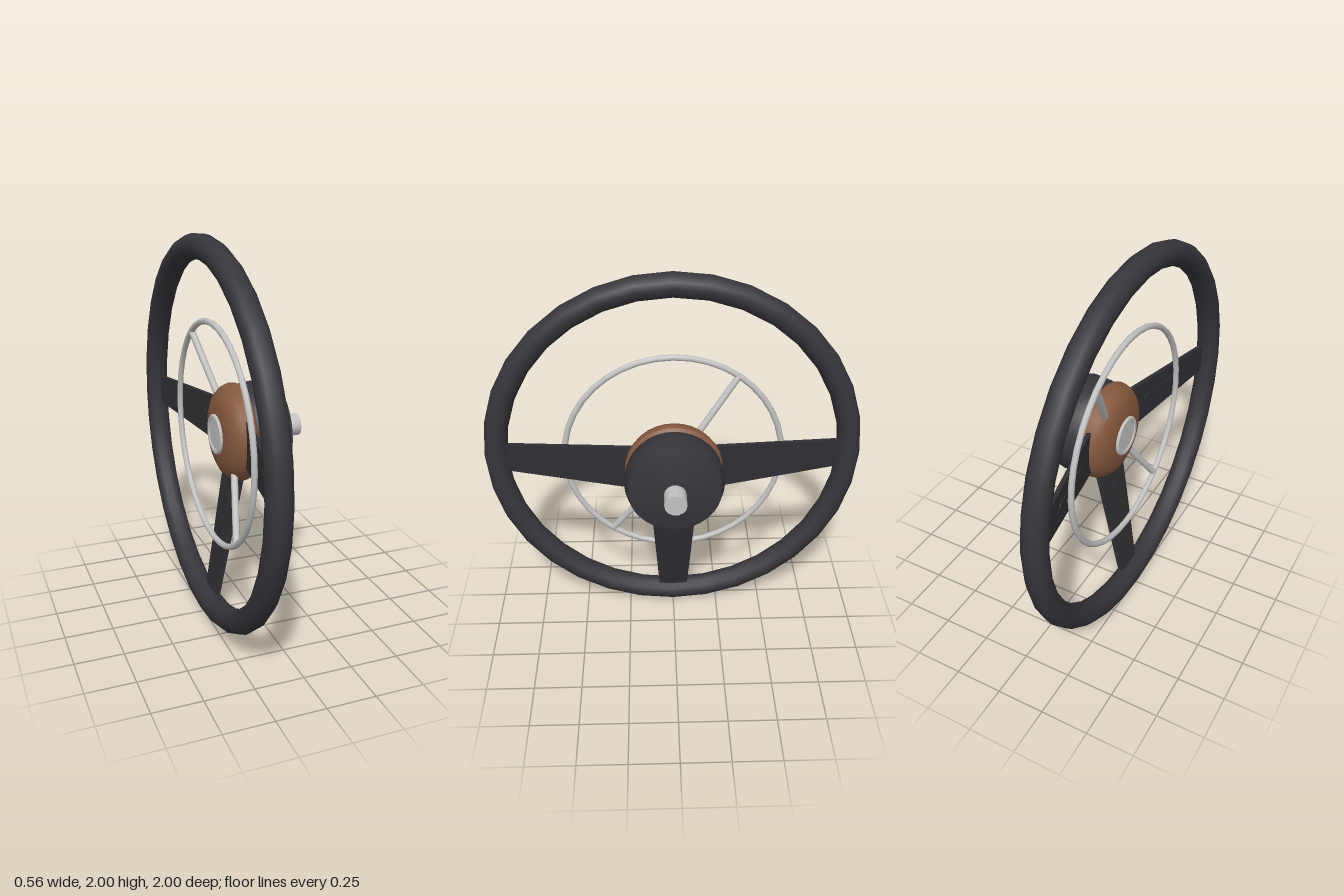
import * as THREE from 'three';
import { toCreasedNormals } from 'three/addons/utils/BufferGeometryUtils.js';

const material = (name, color) => {
  const m = new THREE.MeshStandardMaterial({ color });
  m.name = name;
  return m;
};

export function createModel() {
  const black = material('black leather', 0x35353b);
  const spokeBlack = material('spoke black', 0x2f2f34);
  const brown = material('brown hub', 0x85583e);
  const silver = material('silver metal', 0xc2c2c2);

  // Everything turns about the x axis, so the group origin is the wheel centre
  const wheel = new THREE.Group();
  wheel.name = 'steeringWheel';
  wheel.position.y = 1;

  const add = (name, geometry, mat, parent = wheel) => {
    const mesh = new THREE.Mesh(geometry, mat);
    mesh.name = name;
    parent.add(mesh);
    return mesh;
  };

  // Profile of [radius, x] points spun around the x axis
  const spin = (points, sides, crease = 0.6) => {
    const g = new THREE.LatheGeometry(points.map(([r, x]) => new THREE.Vector2(r, x)), sides);
    g.rotateZ(-Math.PI / 2);
    return toCreasedNormals(g, crease);
  };

  const ring = (radius, tube, x, tubeSides, sides) =>
    new THREE.TorusGeometry(radius, tube, tubeSides, sides).rotateY(Math.PI / 2).translate(x, 0, 0);

  // Rim and horn ring
  add('rim', ring(0.9375, 0.0625, -0.219, 12, 32), black);
  add('hornRing', ring(0.572, 0.016, -0.185, 8, 40), silver);

  // Domed hub, rear column housing and shaft
  add('hubDome', spin([
    [0, -0.172], [0.11, -0.17], [0.17, -0.16], [0.212, -0.14], [0.24, -0.11],
    [0.254, -0.07], [0.25, -0.045], [0.235, -0.03], [0, -0.03],
  ], 32), brown);
  add('columnHousing', spin([
    [0, -0.035], [0.235, -0.035], [0.248, -0.005], [0.255, 0.085],
    [0.237, 0.15], [0.1, 0.182], [0, 0.182],
  ], 32, 0.5), black);
  add('shaft', spin([[0, 0.16], [0.057, 0.16], [0.057, 0.278], [0, 0.278]], 14), silver);

  // Round centre cap with a raised bezel
  add('centreCap', spin([
    [0, -0.178], [0.078, -0.178], [0.082, -0.183], [0.098, -0.183], [0.104, -0.176], [0.104, -0.16],
  ], 28), silver);

  // Tapered flat spokes, leaning from the hub forward to the rim
  const blade = new THREE.Shape([
    new THREE.Vector2(-0.126, 0), new THREE.Vector2(0.126, 0),
    new THREE.Vector2(0.078, 0.735), new THREE.Vector2(-0.078, 0.735),
  ]);
  const slot = new THREE.Shape();
  slot.absarc(0, 0.45, 0.028, 0, Math.PI);
  slot.absarc(0, 0.18, 0.028, Math.PI, Math.PI * 2);

  const plate = (shape, depth, back) =>
    new THREE.ExtrudeGeometry(shape, { depth, bevelEnabled: false, curveSegments: 8 })
      .translate(0, 0, back)
      .rotateY(Math.PI / 2)
      .rotateZ(0.178)
      .translate(-0.061, 0.18, 0);
  const bladeGeometry = plate(blade, 0.022, -0.022);
  const slotGeometry = plate(slot, 0.004, -0.026);

  [['left', -Math.PI / 2], ['right', Math.PI / 2], ['lower', Math.PI]].forEach(([side, angle]) => {
    const spoke = new THREE.Group();
    spoke.name = side + 'Spoke';
    spoke.rotation.x = angle;
    add('spokeBlade', bladeGeometry, spokeBlack, spoke);
    add('spokeSlotInlay', slotGeometry, spokeBlack, spoke);
    wheel.add(spoke);
  });

  // Two thin rods carry the horn ring
  const rod = new THREE.TubeGeometry(new THREE.LineCurve3(
    new THREE.Vector3(-0.11, 0.17, 0), new THREE.Vector3(-0.184, 0.57, 0)), 1, 0.018, 10);
  for (const angle of [-0.62, Math.PI - 0.62]) {
    add('hornRod', rod, silver).rotation.x = angle;
  }

  const model = new THREE.Group();
  model.name = 'model';
  model.add(wheel);
  return model;
}
